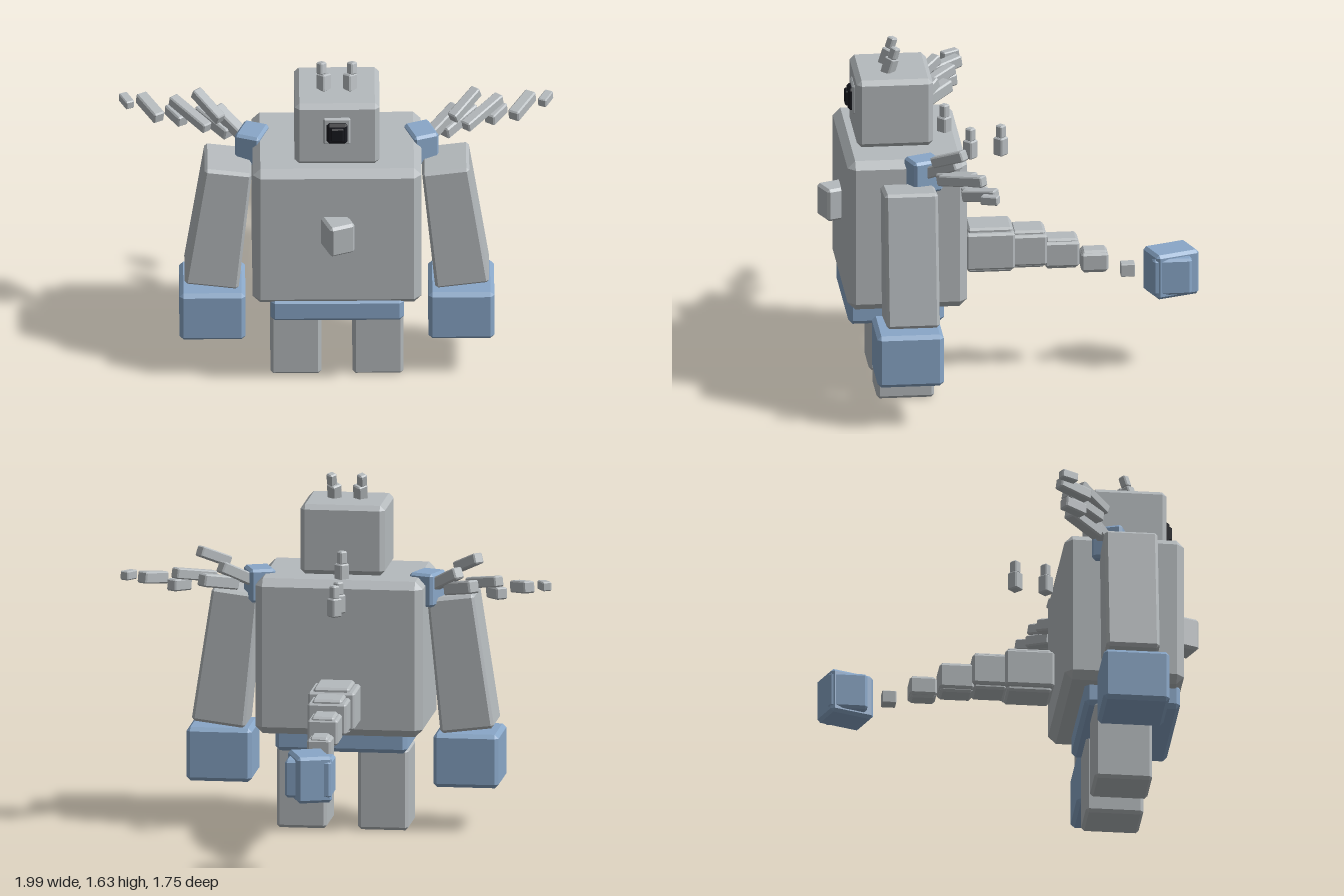
import * as THREE from 'three';
import { ConvexGeometry } from 'three/addons/geometries/ConvexGeometry.js';

const makeMaterial = (name, color) => {
  const m = new THREE.MeshStandardMaterial({ color });
  m.name = name;
  return m;
};

// Box with chamfered edges; the top can be narrower in x
function chamferBox(w, h, d, c, topScale = 1) {
  const pts = [];
  for (const sx of [-1, 1]) for (const sy of [-1, 1]) for (const sz of [-1, 1]) {
    const x = w / 2, y = h / 2, z = d / 2;
    for (const [a, b, e] of [[0, c, c], [c, 0, c], [c, c, 0]]) {
      const k = sy > 0 ? topScale : 1;
      pts.push(new THREE.Vector3(sx * (x - a) * k, sy * (y - b), sz * (z - e)));
    }
  }
  return new ConvexGeometry(pts);
}

export function createModel() {
  const model = new THREE.Group();
  const grey = makeMaterial('stone grey', 0xb5babd);
  const blue = makeMaterial('steel blue', 0x89a7c8);
  const black = makeMaterial('eye black', 0x17181e);

  const add = (name, geometry, material, x, y, z) => {
    const mesh = new THREE.Mesh(geometry, material);
    mesh.name = name;
    mesh.position.set(x, y, z);
    model.add(mesh);
    return mesh;
  };
  // Block given by its lower and upper corner
  const block = (name, material, [x0, y0, z0], [x1, y1, z1], c) =>
    add(name, chamferBox(x1 - x0, y1 - y0, z1 - z0, c), material,
      (x0 + x1) / 2, (y0 + y1) / 2, (z0 + z1) / 2);
  // Square bar running between two points
  const bar = (name, a, b, size) => {
    const from = new THREE.Vector3(...a), to = new THREE.Vector3(...b);
    const mid = from.clone().add(to).multiplyScalar(0.5);
    const mesh = add(name, chamferBox(size, size, from.distanceTo(to), size * 0.12), grey, mid.x, mid.y, mid.z);
    mesh.lookAt(to);
    return mesh;
  };
  // Thick lower pin with a thinner tip, turned on its corner
  const spike = (name, x, y, z, h, lean, out) => {
    const g = new THREE.Group();
    g.name = name;
    g.position.set(x, y, z);
    g.rotation.x = lean;
    [[0.052, 0, 0.6, 0], [0.038, 0.58, 1, out]].forEach(([w, lo, hi, dx]) => {
      const pin = new THREE.Mesh(chamferBox(w, (hi - lo) * h, w, 0.006), grey);
      pin.position.set(dx, (lo + hi) * h / 2, 0);
      pin.rotation.y = Math.PI / 4;
      g.add(pin);
    });
    model.add(g);
  };

  // Torso, belt and head
  block('torso', grey, [-0.387, 0.462, 0.22], [0.387, 1.187, 0.77], 0.035);
  block('belt', blue, [-0.305, 0.367, 0.32], [0.305, 0.487, 0.76], 0.02);
  block('head', grey, [-0.195, 1.187, 0.36], [0.195, 1.512, 0.71], 0.022);

  // Single eye set in a stepped frame
  block('eyeFrame', grey, [-0.065, 1.305, 0.69], [0.062, 1.447, 0.72], 0.008);
  block('eyeRim', black, [-0.048, 1.318, 0.70], [0.048, 1.425, 0.738], 0.012);
  block('pupil', black, [-0.03, 1.338, 0.71], [0.03, 1.408, 0.75], 0.006);

  // Turned chest stud
  add('chestStud', chamferBox(0.122, 0.155, 0.14, 0.012), grey, 0, 0.868, 0.79).rotation.y = 0.38;

  // Wing bars as pairs of end points, on the +x side
  const wingBars = [
    [[0.41, 1.14, 0.41], [0.55, 1.23, 0.28], 0.055],
    [[0.53, 1.235, 0.39], [0.645, 1.305, 0.26], 0.05],
    [[0.49, 1.14, 0.36], [0.63, 1.18, 0.21], 0.06],
    [[0.59, 1.17, 0.36], [0.75, 1.215, 0.18], 0.05],
    [[0.70, 1.15, 0.27], [0.765, 1.16, 0.17], 0.055],
    [[0.81, 1.175, 0.28], [0.895, 1.2, 0.135], 0.055],
    [[0.942, 1.2, 0.21], [0.978, 1.205, 0.135], 0.042],
  ];

  // Limbs and wings on both sides
  for (const [side, s] of [['left', 1], ['right', -1]]) {
    add(side + 'Leg', chamferBox(0.232, 0.38, 0.265, 0.014), grey, s * 0.188, 0.19, 0.498);
    add(side + 'Arm', chamferBox(0.25, 0.63, 0.245, 0.014, 0.87), grey, s * 0.536, 0.783, 0.5)
      .rotation.z = s * 0.125;
    add(side + 'Hand', chamferBox(0.302, 0.25, 0.305, 0.018), blue, s * 0.57, 0.332, 0.514);
    add(side + 'WingRoot', chamferBox(0.12, 0.155, 0.145, 0.012), blue, s * 0.388, 1.128, 0.424)
      .rotation.y = s * 0.36;
    wingBars.forEach(([a, b, size], i) =>
      bar(side + 'WingBar' + (i + 1), [s * a[0], a[1], a[2]], [s * b[0], b[1], b[2]], size));
    spike(side + 'Antenna', s * 0.06, 1.5, 0.56, 0.135, -0.3, s * 0.01);
  }

  // Spikes along the back
  [[0.29, 1.17], [0.17, 1.05], [0.03, 1.06]].forEach(([z, y], i) =>
    spike('backSpike' + (i + 1), -0.008, y, z, 0.145, 0, 0));

  // Tail segments: half width, lower y, upper y, front z, back z
  [
    [0.108, 0.52, 0.735, 0.2, -0.025],
    [0.09, 0.53, 0.71, -0.01, -0.175],
    [0.07, 0.515, 0.66, -0.165, -0.325],
    [0.055, 0.485, 0.592, -0.335, -0.46],
  ].forEach(([w, y0, y1, z0, z1], i) => {
    const t = w * 0.18;
    block('tailSegment' + (i + 1), grey, [-w, y0 + t, z1], [w, y1 - t, z0], 0.01);
    block('tailRidge' + (i + 1), grey, [-w + t * 1.3, y0, z1 + t / 2], [w - t * 1.3, y1, z0 - t / 2], 0.01);
  });
  block('tailLink', grey, [-0.03, 0.455, -0.585], [0.03, 0.515, -0.52], 0.003);

  // Tail club made of two crossed blocks
  block('tailClubCore', blue, [-0.107, 0.385, -0.84], [0.107, 0.56, -0.66], 0.012);
  add('tailClub', chamferBox(0.165, 0.215, 0.215, 0.014), blue, 0, 0.472, -0.753).rotation.y = 0.35;

  return model;
}
